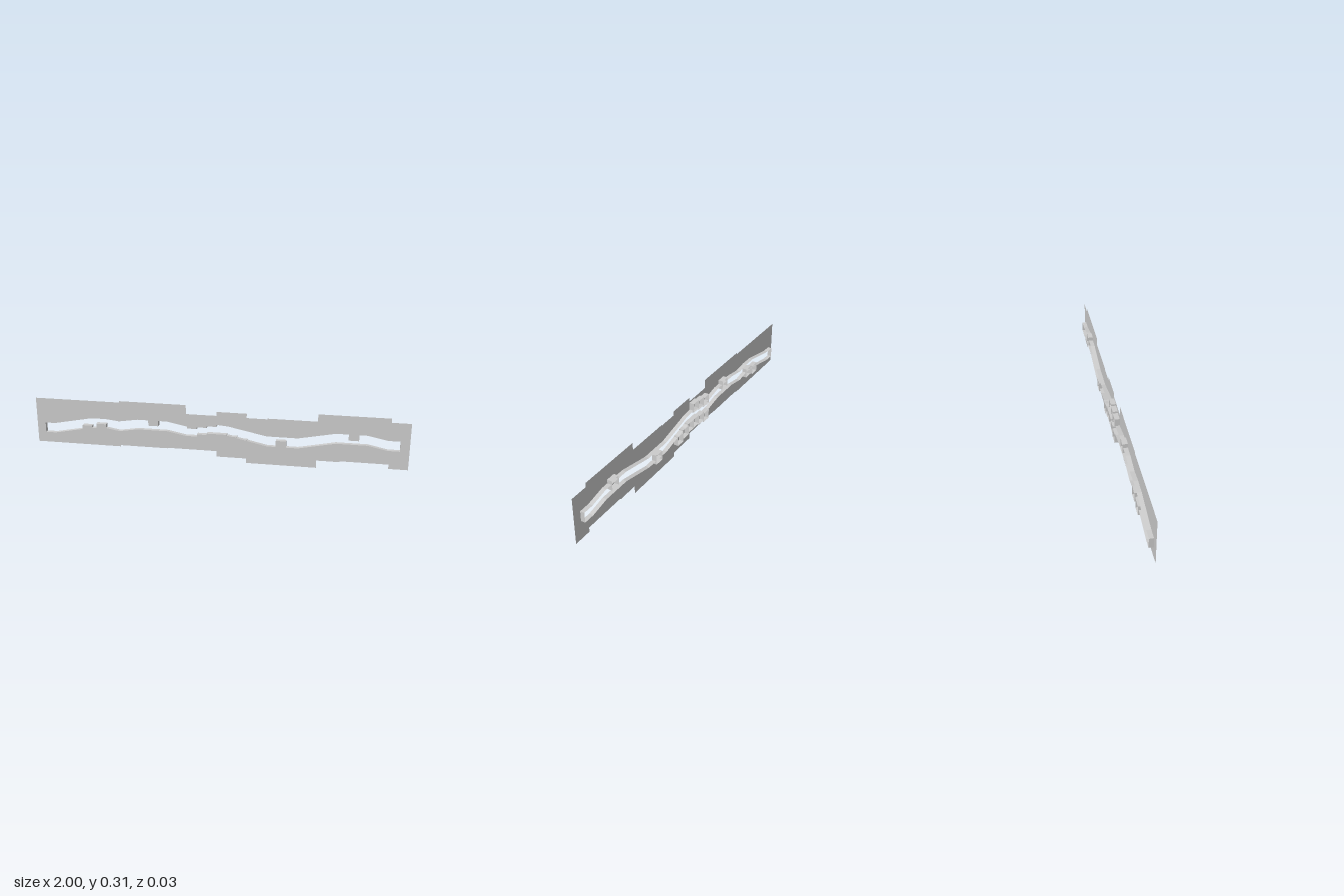
import * as THREE from 'three';

const FRONT = 0.0134, WALL_BACK = -0.01, BLOCK_BACK = -0.0134;
const BLOCK_W = 0.054, BLOCK_H = 0.053;

// Stepped panel: [x start, x end, height]
const topSteps = [[-1, -0.53, 0.297], [-0.53, -0.165, 0.305], [-0.165, 0, 0.255], [0, 0.16, 0.277],
  [0.16, 0.27, 0.253], [0.27, 0.53, 0.257], [0.53, 0.9, 0.297], [0.9, 1, 0.275]];
const bottomSteps = [[-1, -0.53, 0.046], [-0.53, -0.27, 0.053], [-0.27, 0, 0.056], [0, 0.16, 0.025],
  [0.16, 0.53, 0], [0.53, 0.65, 0.041], [0.65, 0.9, 0.046], [0.9, 1, 0.022]];

// Wavy slot edges, left to right
const slotTop = [[-0.955, 0.157], [-0.9, 0.157], [-0.695, 0.197], [-0.615, 0.199], [-0.535, 0.19], [-0.433, 0.206],
  [-0.27, 0.206], [-0.165, 0.186], [-0.107, 0.187], [0, 0.205], [0.06, 0.2], [0.267, 0.158], [0.43, 0.158],
  [0.625, 0.197], [0.786, 0.197], [0.89, 0.176], [0.952, 0.176]];
const slotBottom = [[-0.955, 0.102], [-0.9, 0.102], [-0.695, 0.142], [-0.615, 0.148], [-0.535, 0.134], [-0.433, 0.151],
  [-0.27, 0.151], [-0.165, 0.131], [-0.107, 0.132], [0, 0.151], [0.06, 0.147], [0.267, 0.102], [0.43, 0.102],
  [0.625, 0.142], [0.786, 0.142], [0.89, 0.121], [0.952, 0.121]];

// Blocks: [left x, height of the edge that sticks into the slot]
const upperBlocks = [[-0.372, 0.176], [-0.161, 0.174], [-0.107, 0.184], [-0.054, 0.193], [0.69, 0.164]];
const lowerBlocks = [[-0.743, 0.155], [-0.664, 0.168], [-0.161, 0.131], [-0.107, 0.144], [-0.054, 0.152],
  [0, 0.152], [0.053, 0.142], [0.107, 0.128], [0.315, 0.136]];

const toPoints = (list) => list.map(([x, y]) => new THREE.Vector2(x, y));
const stepPoints = (steps) => toPoints(steps.flatMap(([a, b, y]) => [[a, y], [b, y]]));

// Closed ribbon running back from an outline
function ribbon(outline, z0, z1) {
  const pos = [], index = [];
  outline.forEach((p, i) => {
    const q = outline[(i + 1) % outline.length], k = i * 4;
    pos.push(p.x, p.y, z0, q.x, q.y, z0, q.x, q.y, z1, p.x, p.y, z1);
    index.push(k, k + 1, k + 2, k, k + 2, k + 3);
  });
  const geo = new THREE.BufferGeometry();
  geo.setAttribute('position', new THREE.Float32BufferAttribute(pos, 3));
  geo.setIndex(index);
  geo.computeVertexNormals();
  return geo;
}

export function createModel() {
  const group = new THREE.Group();
  const material = new THREE.MeshStandardMaterial({ color: 0xcccccc, side: THREE.DoubleSide, flatShading: true });
  const add = (name, geo) => {
    const mesh = new THREE.Mesh(geo, material);
    mesh.name = name;
    group.add(mesh);
    return mesh;
  };

  // Thin panel with the slot cut out
  const slot = [...toPoints(slotTop), ...toPoints(slotBottom).reverse()];
  const panel = new THREE.Shape([...stepPoints(bottomSteps), ...stepPoints(topSteps).reverse()]);
  panel.holes.push(new THREE.Path(slot));
  add('panel', new THREE.ShapeGeometry(panel)).position.z = FRONT;

  // Wall lining the slot
  add('slotWall', ribbon(slot, FRONT, WALL_BACK));

  // Box sockets, closed at the front and open at the back
  const depth = FRONT - BLOCK_BACK;
  const socket = new THREE.BoxGeometry(BLOCK_W, BLOCK_H, depth);
  socket.setIndex(Array.from(socket.index.array).slice(0, 30));
  socket.clearGroups();
  const addBlock = (name, x, y) =>
    add(name, socket).position.set(x + BLOCK_W / 2, y, (FRONT + BLOCK_BACK) / 2);
  upperBlocks.forEach(([x, y]) => addBlock('upperBlock', x, y + BLOCK_H / 2));
  lowerBlocks.forEach(([x, y]) => addBlock('lowerBlock', x, y - BLOCK_H / 2));

  return group;
}
